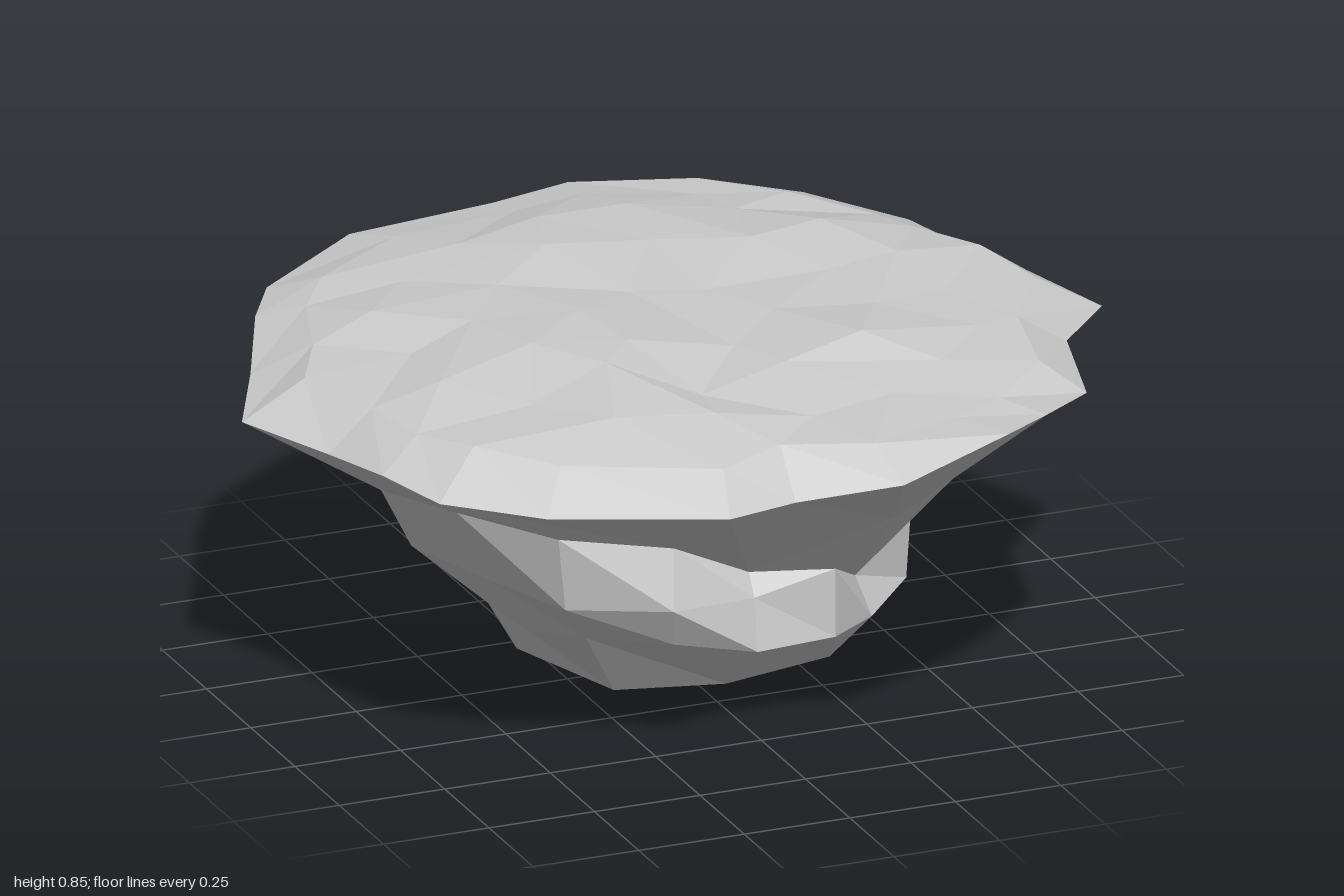
import * as THREE from 'three';

// Small seeded noise in the range -1..1
function makeNoise(seed) {
  let s = seed;
  return () => {
    s = (s * 16807) % 2147483647;
    return (s / 2147483647) * 2 - 1;
  };
}

// Ring of points running from +x towards +z; radii and heights by angle
function polarRing(radii, heights, offset = 0) {
  return radii.map((r, i) => {
    const a = ((i + offset) / radii.length) * Math.PI * 2;
    return [Math.cos(a) * r, heights[i], Math.sin(a) * r];
  });
}

// Joins rings of any point count, listed from the top centre outward and down
function stitch(rings) {
  const pos = [];
  const tri = (a, b, c) => pos.push(...a, ...b, ...c);
  for (let k = 0; k < rings.length - 1; k++) {
    const A = rings[k], B = rings[k + 1], n = A.length, m = B.length;
    let i = 0, j = 0;
    while (i < n || j < m) {
      const a = A[i % n], b = B[j % m];
      if (j >= m || (i < n && (i + 1) / n <= (j + 1) / m)) {
        if (n > 1) tri(a, A[(i + 1) % n], b);
        i++;
      } else {
        if (m > 1) tri(a, B[(j + 1) % m], b);
        j++;
      }
    }
  }
  const geo = new THREE.BufferGeometry();
  geo.setAttribute('position', new THREE.Float32BufferAttribute(pos, 3));
  geo.computeVertexNormals();
  return geo;
}

export function createModel() {
  const group = new THREE.Group();
  group.name = 'floatingRockIsland';
  const material = new THREE.MeshStandardMaterial({ color: 0xcccccc, flatShading: true });
  const noise = makeNoise(4711);

  // Ragged rim, shared by the plateau and the underside
  const rim = [
    [1, 0.7, 0.04], [0.82, 0.73, 0.27], [0.75, 0.72, 0.55], [0.58, 0.76, 0.73],
    [0.44, 0.78, 0.85], [0.15, 0.74, 0.95], [-0.07, 0.7, 0.86], [-0.25, 0.71, 0.92],
    [-0.61, 0.7, 0.74], [-0.8, 0.71, 0.59], [-0.86, 0.72, 0.41], [-0.9, 0.7, 0.2],
    [-1, 0.7, -0.05], [-0.9, 0.73, -0.24], [-0.78, 0.75, -0.5], [-0.69, 0.75, -0.65],
    [-0.41, 0.76, -0.85], [-0.05, 0.76, -0.9], [0.15, 0.76, -0.95], [0.41, 0.77, -0.84],
    [0.61, 0.75, -0.72], [0.79, 0.72, -0.55], [0.84, 0.71, -0.42], [0.92, 0.71, -0.2],
  ];

  // Upper edge of the plateau, set in from the rim
  const edge = rim.map(([x, , z]) => {
    const s = 0.865 + noise() * 0.025;
    return [x * s, 0.787 + noise() * 0.012, z * s];
  });

  // Gently uneven plateau
  const plateauRing = (count, r, y, offset) => {
    const radii = Array.from({ length: count }, () => r + noise() * 0.04);
    return polarRing(radii, radii.map(() => y + noise() * 0.02), offset);
  };
  const plateau = [
    [[0, 0.82, 0]],
    plateauRing(6, 0.2, 0.825, 0.3),
    plateauRing(12, 0.42, 0.828, 0.5),
    plateauRing(18, 0.64, 0.815, 0.2),
    edge,
    rim,
  ];

  // Underside: overhang, notched neck, bulging ledge and blunt foot
  const underside = [
    rim,
    polarRing(
      [0.63, 0.66, 0.66, 0.68, 0.43, 0.51, 0.66, 0.67, 0.69, 0.7, 0.69, 0.67, 0.65, 0.65, 0.67, 0.65],
      [0.51, 0.53, 0.53, 0.53, 0.37, 0.47, 0.53, 0.54, 0.51, 0.53, 0.5, 0.52, 0.5, 0.5, 0.51, 0.54]),
    polarRing(
      [0.5, 0.52, 0.43, 0.5, 0.46, 0.56, 0.62, 0.58, 0.62, 0.59, 0.56, 0.56, 0.52, 0.53, 0.49, 0.56],
      [0.36, 0.36, 0.27, 0.36, 0.32, 0.34, 0.35, 0.36, 0.37, 0.35, 0.37, 0.34, 0.33, 0.36, 0.33, 0.34]),
    polarRing(
      [0.49, 0.51, 0.47, 0.5, 0.48, 0.5, 0.5, 0.45, 0.43, 0.45, 0.46, 0.47, 0.45, 0.48, 0.48, 0.5],
      [0.18, 0.2, 0.18, 0.2, 0.2, 0.24, 0.24, 0.2, 0.2, 0.22, 0.2, 0.18, 0.2, 0.17, 0.19, 0.22]),
    polarRing(
      [0.35, 0.37, 0.3, 0.34, 0.37, 0.33, 0.38, 0.36],
      [0.06, 0.07, 0.06, 0.06, 0.09, 0.1, 0.12, 0.09]),
    [[0.03, 0, -0.11]],
  ];

  const parts = { plateau, rockUnderside: underside };
  for (const [name, rings] of Object.entries(parts)) {
    const mesh = new THREE.Mesh(stitch(rings), material);
    mesh.name = name;
    group.add(mesh);
  }
  return group;
}
